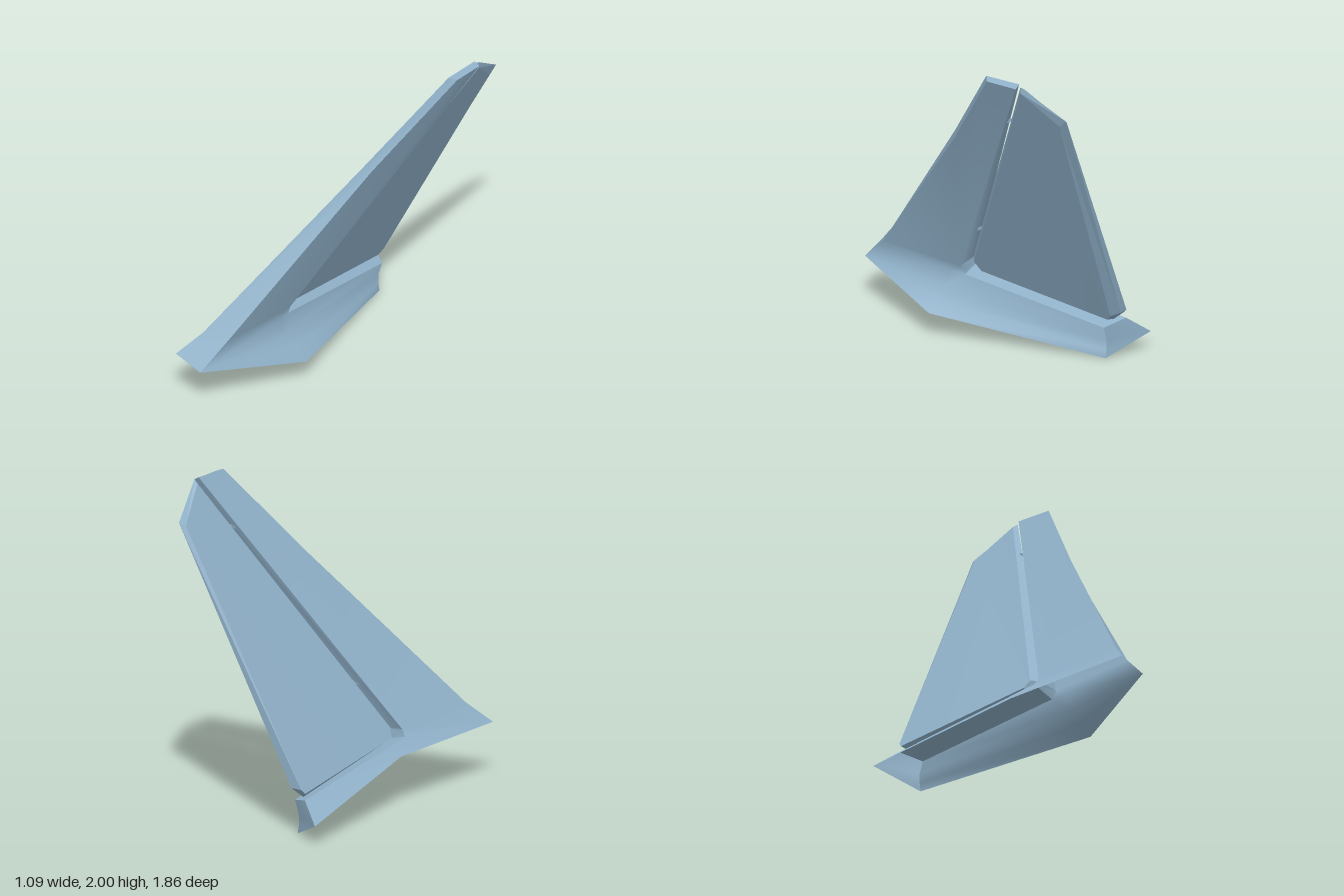
import * as THREE from 'three';
import { toCreasedNormals } from 'three/addons/utils/BufferGeometryUtils.js';

const material = new THREE.MeshStandardMaterial({ color: 0x8fb0c8, side: THREE.DoubleSide });

// Mesh from polygons (lists of corner points), each split into a fan
function panelMesh(name, polygons, crease) {
  const pos = [];
  for (const p of polygons)
    for (let i = 1; i < p.length - 1; i++) pos.push(...p[0], ...p[i], ...p[i + 1]);
  const geo = new THREE.BufferGeometry();
  geo.setAttribute('position', new THREE.Float32BufferAttribute(pos, 3));
  const mesh = new THREE.Mesh(toCreasedNormals(geo, crease), material);
  mesh.name = name;
  return mesh;
}

// x of the leaning middle plane of the fin at height y
const leanX = (y) => -0.25 + 0.497 * (y - 0.45);

// Fixed fin with its flared root, open underneath
function makeFin() {
  // upper side, facing -x
  const L = {
    nose: [-0.43, 0.33, 0.93], root: [-0.33, 0.46, 0.8], kink: [0.205, 1.45, 0],
    tip: [0.5, 2, -0.42], tipBack: [0.5, 2, -0.65], hinge: [-0.33, 0.43, 0.21],
    shelf: [-0.36, 0.39, 0.2], shelfBack: [-0.41, 0.235, -0.79],
    skirt: [-0.43, 0.31, 0.08], tail: [-0.55, 0.12, -0.87],
  };
  // lower side, facing +x
  const R = {
    nose: [-0.24, 0.28, 0.93], root: [-0.18, 0.44, 0.76], kink: [0.25, 1.43, -0.03],
    tip: [0.54, 1.985, -0.45], tipBack: [0.535, 1.98, -0.65], hinge: [-0.175, 0.41, 0.21],
    shelf: [-0.2, 0.35, 0.2], shelfBack: [-0.28, 0.2, -0.72],
  };
  // hollow root curve, from the skirt rim upward, at mid length and at the tail
  const mid = [[0.03, 0.16, 0.3], [-0.065, 0.215, 0.3], [-0.13, 0.28, 0.3], [-0.175, 0.37, 0.29]];
  const tail = [[-0.3, 0, -0.72], [-0.308, 0.05, -0.72], [-0.308, 0.11, -0.72], R.shelfBack];

  const lower = [
    [R.hinge, R.tipBack, R.tip, R.kink, R.root],
    [R.root, mid[3], R.hinge],
    [mid[3], R.shelf, R.hinge],
    [R.nose, mid[3], R.root],
    [mid[2], tail[2], R.shelfBack, R.shelf, mid[3]],
  ];
  for (let i = 0; i < 3; i++) lower.push([R.nose, mid[i], mid[i + 1]]);
  for (let i = 0; i < 2; i++) lower.push([mid[i], tail[i], tail[i + 1], mid[i + 1]]);

  const fin = new THREE.Group();
  fin.name = 'fin';
  fin.add(
    panelMesh('finLowerSide', lower, 1.5),
    panelMesh('finUpperSide', [
      [L.hinge, L.root, L.kink, L.tip, L.tipBack],
      [L.nose, L.root, L.hinge],
      [L.nose, L.hinge, L.shelf, L.skirt],
      [L.skirt, L.shelf, L.shelfBack, L.tail],
    ], 0.7),
    panelMesh('finEdges', [
      // leading edge and tip
      [L.nose, R.nose, R.root, L.root],
      [L.root, R.root, R.kink, L.kink],
      [L.kink, R.kink, R.tip, L.tip],
      [L.tip, R.tip, R.tipBack, L.tipBack],
      // hinge face, shelf below the rudder, tail plate
      [L.hinge, L.tipBack, R.tipBack, R.hinge],
      [L.shelf, L.hinge, R.hinge, R.shelf],
      [L.shelf, R.shelf, R.shelfBack, L.shelfBack],
      [L.tail, L.shelfBack, ...[...tail].reverse()],
    ], 0.7),
  );
  return fin;
}

// Movable plate behind the hinge line, with bevelled edges
function makeRudder() {
  // corners as z, y, half thickness
  const rim = [[-0.67, 1.99], [0.17, 0.46], [0.13, 0.385], [-0.74, 0.235], [-0.81, 0.3], [-0.93, 1.8]];
  const lowerFace = [
    [-0.67, 1.96, 0.018], [0.14, 0.46, 0.045], [0.11, 0.4, 0.045],
    [-0.72, 0.255, 0.035], [-0.755, 0.29, 0.035], [-0.875, 1.76, 0.015],
  ];
  const upperFace = [
    [-0.68, 1.96, 0.018], [0.125, 0.43, 0.055], [0.1, 0.375, 0.06],
    [-0.78, 0.245, 0.06], [-0.803, 0.27, 0.06], [-0.9, 1.775, 0.015],
  ];
  const ring = (points, side) => points.map(([z, y, t = 0]) =>
    [leanX(y) + side * 0.895 * t, y - side * 0.445 * t, z]);
  const right = ring(lowerFace, 1), middle = ring(rim, 0), left = ring(upperFace, -1);
  const polygons = [right, [...left].reverse()];
  for (let i = 0; i < rim.length; i++) {
    const j = (i + 1) % rim.length;
    polygons.push([right[j], right[i], middle[i], middle[j]]);
    polygons.push([middle[j], middle[i], left[i], left[j]]);
  }
  return panelMesh('rudder', polygons, 0.15);
}

export function createModel() {
  const model = new THREE.Group();
  model.name = 'cantedTailFin';
  model.add(makeFin(), makeRudder());

  // Small pins bridging the hinge gap
  for (const [z, y] of [[0.035, 0.71], [-0.5, 1.69]]) {
    const pin = new THREE.Mesh(new THREE.BoxGeometry(0.015, 0.015, 0.05), material);
    pin.name = 'hingePin';
    pin.position.set(leanX(y), y, z);
    pin.rotation.x = 0.5;
    model.add(pin);
  }
  return model;
}
